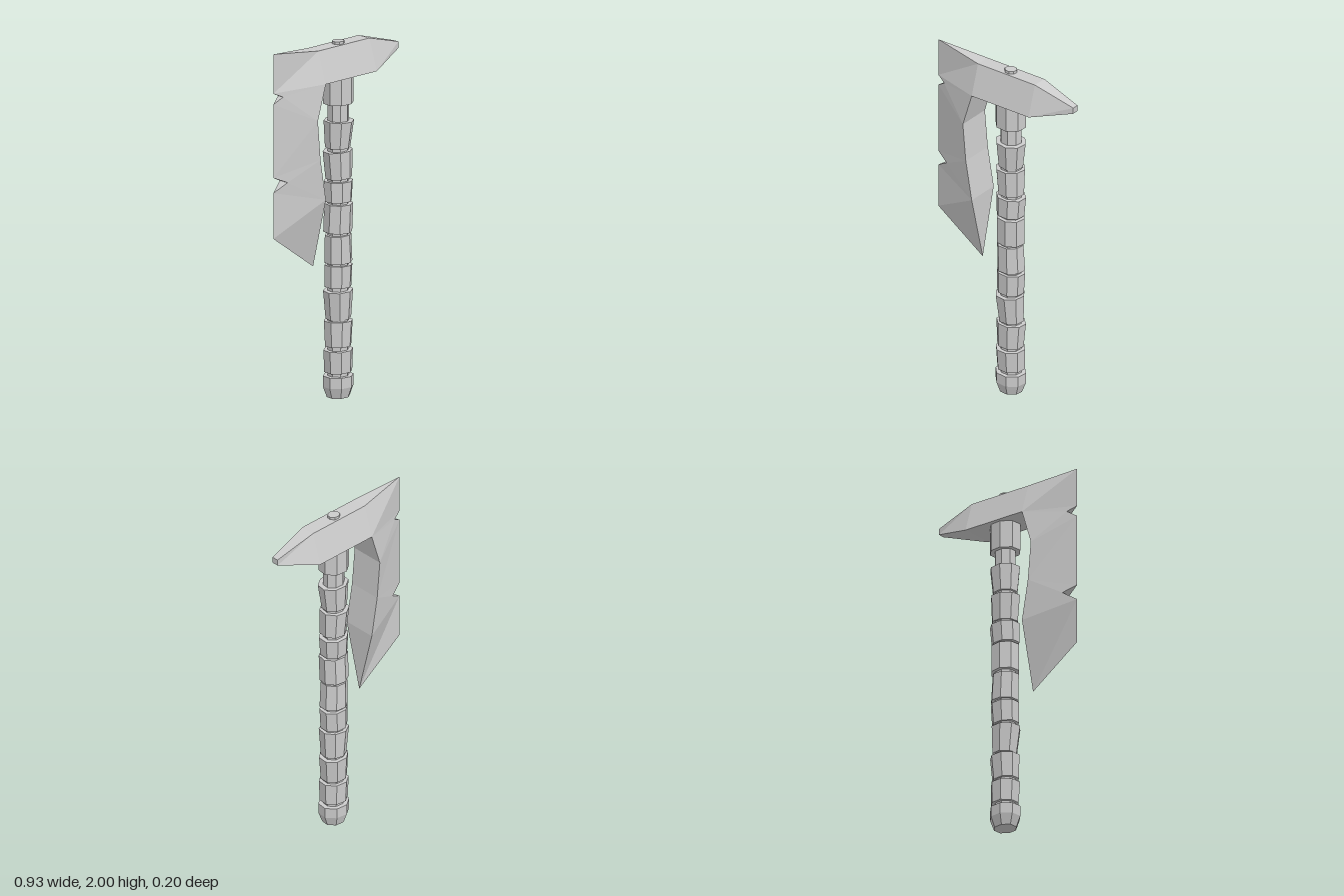
import * as THREE from 'three';

const mat = new THREE.MeshStandardMaterial({ color: 0xcccccc, flatShading: true });
const AXIS_X = 0.025;

// Collects flat polygons, optionally mirrored across z = 0
function faceBuilder() {
  const pos = [];
  const face = (...p) => {
    for (let i = 1; i < p.length - 1; i++) pos.push(...p[0], ...p[i], ...p[i + 1]);
  };
  const both = (...p) => {
    face(...p);
    face(...p.map(flip).reverse());
  };
  const mesh = (name) => {
    const g = new THREE.BufferGeometry();
    g.setAttribute('position', new THREE.Float32BufferAttribute(pos, 3));
    g.computeVertexNormals();
    const m = new THREE.Mesh(g, mat);
    m.name = name;
    return m;
  };
  return { face, both, mesh };
}
const flip = ([x, y, z]) => [x, y, -z];

// Hammer block: trapezoid sections along x, tapering to a blunt beak
function makeHead() {
  const b = faceBuilder();
  const section = (x, y0, y1, z0, z1) => [[x, y0, z0], [x, y1, z1]];
  const s = [
    section(-0.165, 1.795, 1.97, 0.098, 0.042),
    section(0.22, 1.795, 1.97, 0.098, 0.042),
    section(0.462, 1.865, 1.9, 0.02, 0.019),
  ];
  for (let i = 0; i < 2; i++) {
    const [a0, a1] = s[i], [c0, c1] = s[i + 1];
    b.both(a0, c0, c1, a1);
    b.face(a1, c1, flip(c1), flip(a1));
    b.face(flip(a0), flip(c0), c0, a0);
  }
  const [e0, e1] = s[2];
  b.face(e0, flip(e0), flip(e1), e1);
  return b.mesh('hammerHead');
}

// Bearded blade: thick inner spine wedging to a notched cutting edge
function makeBlade() {
  const b = faceBuilder();
  const I = [
    [-0.165, 1.97, 0.042], [-0.165, 1.795, 0.098], [-0.225, 1.6, 0.098],
    [-0.205, 1.38, 0.098], [-0.165, 1.15, 0.098], [-0.165, 0.76, 0],
  ];
  const ex = -0.465;
  const O = [
    [ex, 2, 0], [ex, 1.78, 0], [-0.41, 1.755, 0.02], [ex, 1.72, 0],
    [ex, 1.31, 0], [-0.387, 1.275, 0.03], [ex, 1.225, 0], [ex, 0.97, 0],
  ];
  // cheeks
  b.both(I[0], O[0], O[1], I[1]);
  b.both(I[1], O[1], O[2]);
  b.both(I[1], O[2], I[2]);
  b.both(I[2], O[2], O[3]);
  b.both(I[2], O[3], O[4], I[3]);
  b.both(I[3], O[4], O[5]);
  b.both(I[3], O[5], I[4]);
  b.both(I[4], O[5], O[6]);
  b.both(I[4], O[6], O[7], I[5]);
  // notch walls
  for (const n of [2, 5]) {
    b.face(O[n - 1], flip(O[n]), O[n]);
    b.face(O[n], flip(O[n]), O[n + 1]);
  }
  // top ridge and inner spine
  b.face(I[0], flip(I[0]), O[0]);
  for (let i = 1; i < 5; i++) b.face(I[i], I[i + 1], flip(I[i + 1]), flip(I[i]));
  return b.mesh('blade');
}

// Slightly flattened octagonal drum between two heights
function drum(name, y0, y1, rBottom, rTop, tilt = 0, tiltX = 0, turn = 0.28) {
  const g = new THREE.CylinderGeometry(rTop, rBottom, y1 - y0, 8);
  g.rotateY(turn);
  g.scale(1, 1, 0.9);
  const m = new THREE.Mesh(g, mat);
  m.name = name;
  m.position.set(AXIS_X, (y0 + y1) / 2, 0);
  m.rotation.set(tiltX, 0, tilt);
  return m;
}

export function createModel() {
  const axe = new THREE.Group();
  axe.name = 'axe';
  axe.add(makeHead(), makeBlade());

  // Shaft core, pommel, collar and the peg on top
  axe.add(
    drum('shaftCore', 0.05, 1.8, 0.062, 0.062),
    drum('pommelBase', 0, 0.06, 0.066, 0.089),
    drum('pommel', 0.06, 0.12, 0.089, 0.089),
    drum('collar', 1.64, 1.797, 0.089, 0.089),
    drum('peg', 1.95, 1.985, 0.036, 0.036),
  );

  // Grip wraps: y0, y1, bottom radius, top radius, tilt about z, tilt about x
  const wraps = [
    [0.142, 0.265, 0.081, 0.086, 0.02, 0.02],
    [0.284, 0.425, 0.077, 0.085, -0.03, -0.02],
    [0.437, 0.597, 0.073, 0.086, 0.04, 0.03],
    [0.615, 0.737, 0.078, 0.082, -0.03, -0.01],
    [0.752, 0.907, 0.081, 0.077, 0.03, 0.01],
    [0.922, 1.08, 0.083, 0.083, -0.02, 0.03],
    [1.092, 1.205, 0.08, 0.086, -0.03, -0.02],
    [1.223, 1.375, 0.077, 0.086, 0.04, -0.02],
    [1.392, 1.542, 0.073, 0.088, -0.03, 0.03],
  ];
  wraps.forEach((w, i) => axe.add(drum(`gripWrap${i + 1}`, ...w, 0.28 + 0.08 * Math.sin(i * 2.3))));
  return axe;
}
